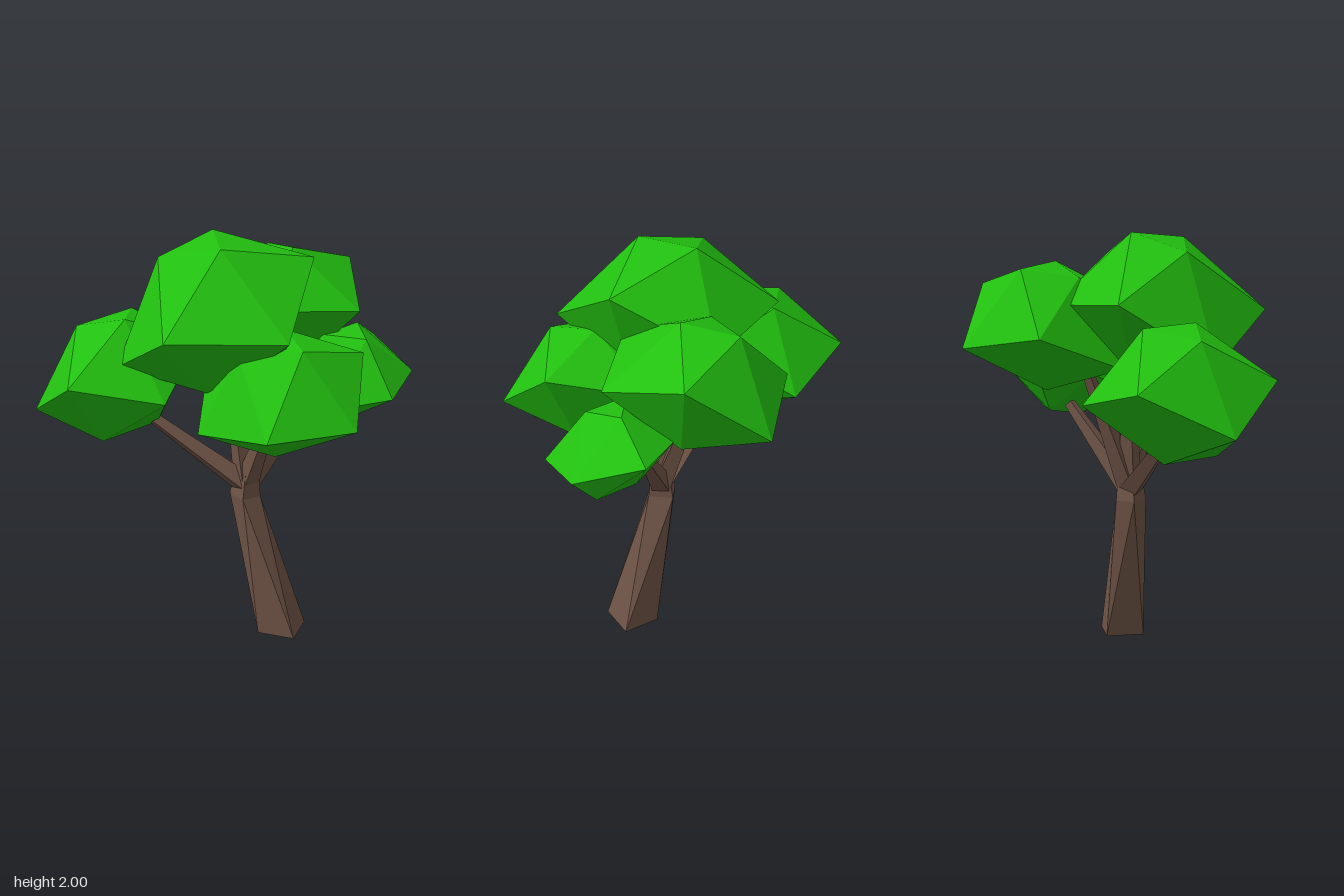
import * as THREE from 'three';
import { ConvexGeometry } from 'three/addons/geometries/ConvexGeometry.js';

const bark = new THREE.MeshStandardMaterial({ color: 0x6e5346, flatShading: true });
const leaf = new THREE.MeshStandardMaterial({ color: 0x22c010, flatShading: true });

// Skin a stack of four-cornered rings (counter-clockwise seen from above) and cap both ends
function loft(rings) {
  const pos = rings.flat(2), idx = [];
  for (let k = 0; k < rings.length - 1; k++) {
    for (let i = 0; i < 4; i++) {
      const a = k * 4 + i, b = k * 4 + (i + 1) % 4;
      idx.push(a, b, a + 4, b, b + 4, a + 4);
    }
  }
  const t = (rings.length - 1) * 4;
  idx.push(0, 2, 1, 0, 3, 2, t, t + 1, t + 2, t, t + 2, t + 3);
  const g = new THREE.BufferGeometry();
  g.setAttribute('position', new THREE.Float32BufferAttribute(pos, 3));
  g.setIndex(idx);
  const flat = g.toNonIndexed();
  flat.computeVertexNormals();
  return flat;
}

// Four-sided tapering limb between two points
function limb(from, to, r0, r1) {
  const a = new THREE.Vector3(...from), b = new THREE.Vector3(...to);
  const dir = b.clone().sub(a);
  const g = new THREE.CylinderGeometry(r1, r0, dir.length(), 4);
  g.rotateY(Math.PI / 4);
  g.applyQuaternion(new THREE.Quaternion().setFromUnitVectors(
    new THREE.Vector3(0, 1, 0), dir.normalize()));
  const mid = a.add(b).multiplyScalar(0.5);
  return g.translate(mid.x, mid.y, mid.z);
}

// Faceted twelve-cornered clump: six corners and their opposites through the centre
function clump(centre, corners) {
  const c = new THREE.Vector3(...centre);
  const pts = corners.flatMap((p) => {
    const v = new THREE.Vector3(...p);
    return [v, c.clone().multiplyScalar(2).sub(v)];
  });
  return new ConvexGeometry(pts);
}

export function createModel() {
  const tree = new THREE.Group();
  tree.name = 'tree';
  const add = (name, geometry, material) => {
    const mesh = new THREE.Mesh(geometry, material);
    mesh.name = name;
    tree.add(mesh);
  };

  // Leaning, twisted trunk
  add('trunk', loft([
    [[0.15, 0, 0.31], [0.295, 0, 0.195], [0.18, 0, 0.05], [0.035, 0, 0.165]],
    [[0.085, 0.71, 0.1], [0.085, 0.71, -0.02], [-0.015, 0.71, -0.02], [-0.015, 0.71, 0.1]],
    [[0.085, 0.84, 0.09], [0.085, 0.84, 0], [0.005, 0.84, 0], [0.005, 0.84, 0.09]],
  ]), bark);

  // One branch into each clump
  const branches = {
    topBranch: [0, 1.36, -0.05],
    backLeftBranch: [0.17, 1.34, -0.14],
    backRightBranch: [-0.36, 1.13, -0.25],
    frontBranch: [0.05, 1.16, 0.23],
    frontLeftBranch: [0.4, 1.16, 0.07],
  };
  for (const [name, tip] of Object.entries(branches)) {
    add(name, limb([0.04, 0.76, 0.04], tip, 0.06, 0.028), bark);
  }

  // Foliage
  add('topFoliage', clump([-0.125, 1.65, 0.03], [
    [-0.34, 1.91, -0.11], [-0.05, 2, -0.11], [-0.18, 1.98, 0.17],
    [-0.06, 1.62, 0.54], [-0.55, 1.64, 0.3], [0.28, 1.9, 0.235],
  ]), leaf);
  add('backLeftFoliage', clump([0.365, 1.56, -0.155], [
    [0.38, 1.865, -0.085], [0.41, 1.83, -0.345], [0.18, 1.79, -0.2],
    [0.55, 1.6, 0.235], [0.765, 1.755, -0.145], [0.635, 1.46, -0.505],
  ]), leaf);
  add('backRightFoliage', clump([-0.435, 1.295, -0.36], [
    [-0.59, 1.535, -0.465], [-0.3, 1.58, -0.455], [-0.45, 1.6, -0.24],
    [-0.455, 1.325, -0.785], [-0.79, 1.13, -0.535], [-0.805, 1.35, -0.135],
  ]), leaf);
  add('frontFoliage', clump([0.01, 1.335, 0.375], [
    [0, 1.585, 0.56], [0.06, 1.62, 0.34], [-0.19, 1.54, 0.33],
    [0.36, 1.51, 0.52], [0.145, 1.25, 0.775], [-0.27, 1.25, 0.69],
  ]), leaf);
  add('frontLeftFoliage', clump([0.533, 1.3, 0.2], [
    [0.535, 1.485, 0.31], [0.61, 1.515, 0.14], [0.4, 1.49, 0.15],
    [0.805, 1.395, 0.01], [0.805, 1.29, 0.33], [0.56, 1.235, 0.495],
  ]), leaf);

  return tree;
}
